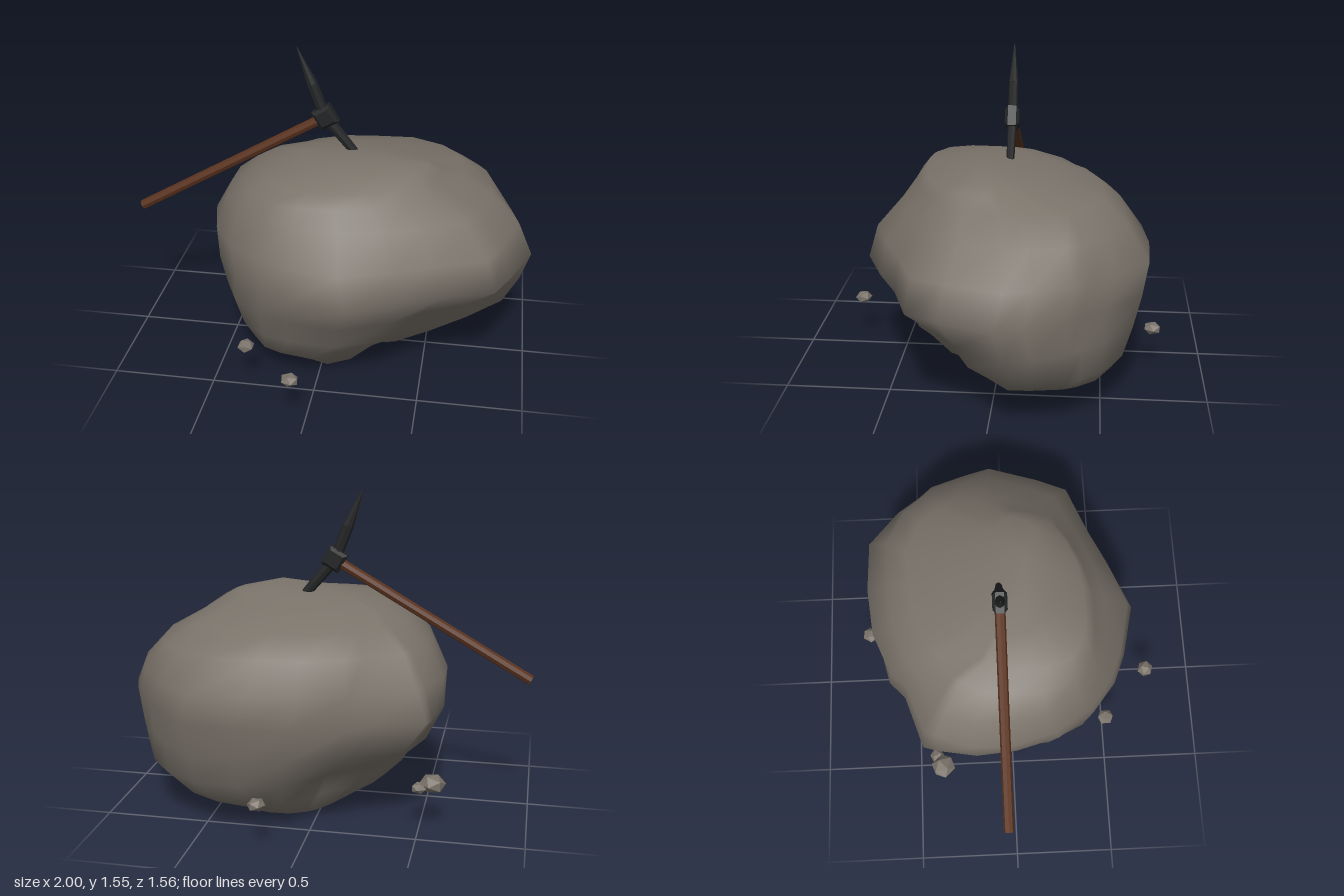
import * as THREE from 'three';

const flat = (g) => { const n = g.index ? g.toNonIndexed() : g; n.computeVertexNormals(); return n; };

export function createModel() {
  const root = new THREE.Group();
  const stone = new THREE.MeshStandardMaterial({ color: 0x7a736a });
  stone.name = 'stone';
  const wood = new THREE.MeshStandardMaterial({ color: 0x5a321d });
  wood.name = 'wood';
  const iron = new THREE.MeshStandardMaterial({ color: 0x232425 });
  iron.name = 'iron';

  const add = (parent, name, geometry, material) => {
    const mesh = new THREE.Mesh(geometry, material);
    mesh.name = name;
    parent.add(mesh);
    return mesh;
  };

  // Boulder: plan outline (x, z), rounded off away from the waist
  const plan = [
    [-0.55, -0.47], [-0.28, -0.55], [-0.2, -0.63], [0.05, -0.69], [0.3, -0.71], [0.56, -0.69],
    [0.72, -0.52], [0.8, -0.41], [0.87, -0.35], [0.95, -0.18], [1, -0.05], [0.9, 0.2],
    [0.83, 0.35], [0.58, 0.43], [0.4, 0.53], [0.16, 0.64], [-0.1, 0.58], [-0.25, 0.52],
    [-0.4, 0.4], [-0.52, 0.22], [-0.58, 0], [-0.6, -0.2], [-0.57, -0.4],
  ];
  // Each level: y, min x, max x, min z, max z, sideways lean of the front, then the
  // swell (+) or hollow (-) of its corners: back -x, back +x, front -x, front +x
  const levels = [
    [0, 0.1, 0.4, -0.34, -0.06, 0, 0, 0, 0, 0],
    [0.025, -0.1, 0.46, -0.4, 0.31, -0.13, 0, 0, 0, -0.45],
    [0.13, -0.29, 0.7, -0.56, 0.42, -0.2, -0.25, 0.12, 0.08, -0.32],
    [0.24, -0.39, 0.875, -0.61, 0.47, -0.12, -0.25, 0.08, 0.12, -0.28],
    [0.39, -0.52, 0.955, -0.67, 0.55, -0.06, -0.03, 0, 0.06, -0.17],
    [0.55, -0.59, 1, -0.695, 0.645, 0, 0, 0, 0, 0],
    [0.7, -0.6, 0.93, -0.71, 0.605, 0, -0.08, 0.05, 0.01, 0.03],
    [0.85, -0.51, 0.79, -0.59, 0.475, 0, -0.04, 0.14, 0.09, 0.02],
    [0.94, -0.4, 0.63, -0.48, 0.41, 0, -0.08, 0.18, 0.16, 0],
    [1.0, -0.28, 0.54, -0.27, 0.36, 0, 0.02, 0, 0.2, 0],
    [1.035, -0.14, 0.48, -0.14, 0.21, 0, 0, 0, 0, 0],
  ];
  const positions = [];
  const faces = [];
  const n = plan.length;
  for (const [y, x0, x1, z0, z1, lean, ...corners] of levels) {
    const round = Math.min(1, Math.abs(y - 0.6) * 1.8);
    for (const [px, pz] of plan) {
      const u = (px - 0.2) / 0.8;
      const v = (pz + 0.035) / 0.675;
      const h = Math.hypot(u, v);
      const swell = corners[(u > 0 ? 1 : 0) + (v > 0 ? 2 : 0)] * (2 * u * v / (h * h)) ** 2;
      const k = THREE.MathUtils.lerp(1, 1 / h, round) * (1 + swell);
      const x = (x0 + x1) / 2 + u * k * (x1 - x0) / 2 + lean * Math.max(0, v * k);
      positions.push(x, y, (z0 + z1) / 2 + v * k * (z1 - z0) / 2);
    }
  }
  const bottom = positions.length / 3;
  positions.push(0.25, 0, -0.2, 0.26, 1.08, 0.09);
  const last = (levels.length - 1) * n;
  for (let i = 0; i < n; i++) {
    const j = (i + 1) % n;
    for (let r = 0; r < last; r += n) {
      faces.push(r + i, r + n + i, r + j, r + j, r + n + i, r + n + j);
    }
    faces.push(bottom, i, j, bottom + 1, last + j, last + i);
  }
  const rock = new THREE.BufferGeometry();
  rock.setAttribute('position', new THREE.Float32BufferAttribute(positions, 3));
  rock.setIndex(faces);
  rock.computeVertexNormals();
  add(root, 'boulder', rock, stone);

  // Loose pebbles: x, y, z, radius
  const pebbles = [
    [-0.33, 0.225, 0.5, 0.042], [-0.07, 0.225, 0.735, 0.042], [0.19, 0.225, -0.75, 0.042],
    [-0.56, 0.23, -0.37, 0.062], [-0.5, 0.215, -0.4, 0.038],
  ];
  pebbles.forEach(([x, y, z, r], i) => {
    const p = add(root, 'pebble' + (i + 1), flat(new THREE.IcosahedronGeometry(r, 0)), stone);
    p.position.set(x, y, z);
    p.rotation.y = i * 1.3;
    p.scale.set(1, 0.72, 1.08);
  });

  // Pickaxe, lying in one upright plane
  const pick = new THREE.Group();
  pick.name = 'pickaxe';
  pick.position.z = -0.045;
  root.add(pick);
  const rod = (name, a, b, ra, rb, sides, material, depth = 1) => {
    const from = new THREE.Vector3(a[0], a[1], 0);
    const to = new THREE.Vector3(b[0], b[1], 0);
    const g = flat(new THREE.CylinderGeometry(rb, ra, from.distanceTo(to), sides));
    const m = add(pick, name, g, material);
    m.position.copy(from).add(to).multiplyScalar(0.5);
    m.rotation.z = Math.atan2(b[1] - a[1], b[0] - a[0]) - Math.PI / 2;
    m.scale.z = depth;
  };
  rod('handle', [-0.985, 0.66], [-0.03, 1.21], 0.025, 0.025, 8, wood);
  rod('spikeBase', [-0.04, 1.23], [-0.095, 1.375], 0.028, 0.028, 8, iron, 0.85);
  rod('spikeTip', [-0.095, 1.375], [-0.166, 1.552], 0.028, 0.002, 8, iron, 0.85);
  rod('chisel', [-0.03, 1.21], [0.135, 1.01], 0.03, 0.022, 8, iron, 0.8);

  // Collar: bevelled block joining head and handle
  const s = 0.034;
  const block = new THREE.Shape([[-s, -s], [s, -s], [s, s], [-s, s]].map(([x, y]) => new THREE.Vector2(x, y)));
  const collarGeo = new THREE.ExtrudeGeometry(block, {
    depth: 0.04, bevelEnabled: true, bevelSegments: 1, bevelSize: 0.015, bevelThickness: 0.015,
  });
  collarGeo.translate(0, 0, -0.02);
  const collar = add(pick, 'collar', flat(collarGeo), iron);
  collar.position.set(-0.03, 1.213, 0);
  collar.rotation.z = Math.PI / 6;

  return root;
}
